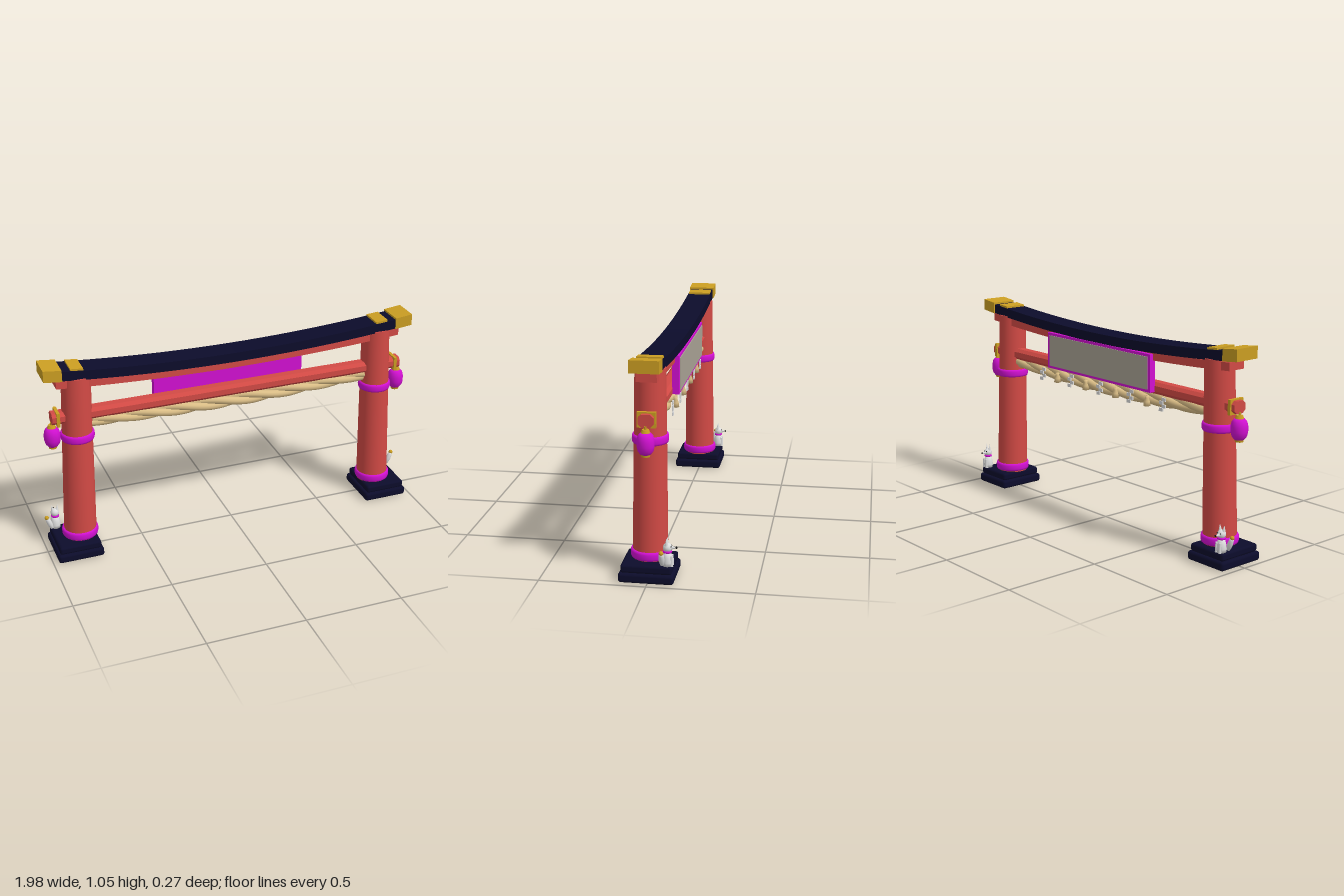
import * as THREE from 'three';
import { RoundedBoxGeometry } from 'three/addons/geometries/RoundedBoxGeometry.js';

const mat = (name, color) => Object.assign(new THREE.MeshStandardMaterial({ color }), { name });
const red = mat('vermilion', 0xd24a45);
const navy = mat('navy lacquer', 0x0c0c2b);
const gold = mat('gold', 0xcb9e22);
const magenta = mat('magenta', 0xd210d2);
const straw = mat('straw', 0xdabd86);
const panel = mat('pale panel', 0xaaa395);
const white = mat('white', 0xdedede);
const black = mat('black', 0x141414);

const ZC = 0.007; // centre plane of the gate
const V = (x, y, z) => new THREE.Vector3(x, y, z);

function add(parent, name, geo, material, x = 0, y = 0, z = 0) {
  const m = new THREE.Mesh(geo, material);
  m.name = name;
  m.position.set(x, y, z);
  parent.add(m);
  return m;
}

const box = (w, h, d) => new THREE.BoxGeometry(w, h, d);
const lathe = (pts, seg) => new THREE.LatheGeometry(pts.map(p => new THREE.Vector2(...p)), seg);

// Upswept beam between x0 and x1, following a shallow parabola
function sweptBeam(x0, x1, low, high, sag, depth) {
  const n = 20, shape = new THREE.Shape();
  const xs = Array.from({ length: n + 1 }, (_, i) => x0 + (x1 - x0) * i / n);
  xs.forEach((x, i) => shape[i ? 'lineTo' : 'moveTo'](x, low + sag * x * x));
  xs.reverse().forEach(x => shape.lineTo(x, high + sag * x * x));
  return new THREE.ExtrudeGeometry(shape, { depth, bevelEnabled: false }).translate(0, 0, -depth / 2);
}

// Straight beam along x with chamfered long edges
function chamferedBeam(length, h, d, c) {
  const a = d / 2, b = h / 2;
  const pts = [[-a + c, -b], [a - c, -b], [a, -b + c], [a, b - c], [a - c, b], [-a + c, b], [-a, b - c], [-a, -b + c]];
  const shape = new THREE.Shape(pts.map(p => new THREE.Vector2(...p)));
  return new THREE.ExtrudeGeometry(shape, { depth: length, bevelEnabled: false })
    .translate(0, 0, -length / 2).rotateY(Math.PI / 2);
}

// Band that hugs a pillar
function band(r, h) {
  const b = h / 2;
  return lathe([[r - 0.015, -b], [r - 0.004, -b], [r, -b * 0.5], [r, b * 0.5], [r - 0.004, b], [r - 0.015, b]], 24);
}

// One strand of the twisted rope
class Strand extends THREE.Curve {
  constructor(phase) { super(); this.phase = phase; }
  getPoint(t, target = new THREE.Vector3()) {
    const x = -0.75 + 1.5 * t, bulge = Math.sin(Math.PI * t);
    const a = this.phase + t * Math.PI * 5, r = 0.011 + 0.008 * bulge;
    return target.set(x, 0.716 - 0.016 * bulge + r * Math.cos(a), ZC + r * Math.sin(a));
  }
}

function addPillar(root, s) {
  const g = new THREE.Group();
  g.name = s > 0 ? 'leftPillar' : 'rightPillar';
  root.add(g);
  add(g, 'lowerPlinth', new RoundedBoxGeometry(0.236, 0.046, 0.258, 2, 0.014), navy, s * 0.855, 0.023, ZC);
  add(g, 'upperPlinth', new RoundedBoxGeometry(0.214, 0.04, 0.238, 2, 0.012), navy, s * 0.855, 0.064, ZC);

  // Column leans inward: shear it along its height
  const col = new THREE.CylinderGeometry(0.072, 0.083, 0.895, 24);
  const p = col.attributes.position;
  for (let i = 0; i < p.count; i++) p.setX(i, p.getX(i) - s * 0.026 * (p.getY(i) / 0.895 + 0.5));
  add(g, 'column', col, red, s * 0.827, 0.528, ZC);
  add(g, 'footBand', band(0.092, 0.04), magenta, s * 0.827, 0.108, ZC);
  add(g, 'upperBand', band(0.085, 0.04), magenta, s * 0.81, 0.653, ZC);
  add(g, 'beamCollar', box(0.016, 0.073, 0.086), gold, s * 0.908, 0.763, ZC);
}

function addLantern(root, s) {
  const g = new THREE.Group();
  g.name = 'lantern';
  g.position.set(s * 0.936, 0.661, ZC);
  root.add(g);
  add(g, 'lanternBody', lathe([[0, -0.05], [0.024, -0.05], [0.036, -0.034], [0.041, -0.012], [0.041, 0.014],
    [0.036, 0.036], [0.024, 0.05], [0, 0.05]], 14), magenta);
  add(g, 'lanternFoot', new THREE.CylinderGeometry(0.022, 0.02, 0.014, 12), gold, 0, -0.054, 0);
  add(g, 'lanternCap', new THREE.CylinderGeometry(0.016, 0.023, 0.018, 12), gold, 0, 0.056, 0);
  add(g, 'lanternHook', new THREE.CylinderGeometry(0.006, 0.006, 0.02, 8), gold, 0, 0.07, 0);
}

// Small seated guardian facing the back
function addGuardian(root, s) {
  const g = new THREE.Group();
  g.name = 'guardian';
  g.position.set(s * 0.932, 0.084, -0.09);
  root.add(g);
  add(g, 'body', lathe([[0, 0], [0.024, 0], [0.027, 0.018], [0.023, 0.042], [0.016, 0.064], [0, 0.066]], 12), white);
  for (const e of [-1, 1]) {
    add(g, 'frontLeg', new THREE.CylinderGeometry(0.006, 0.008, 0.05, 8), white, e * 0.011, 0.025, -0.02);
    const ear = add(g, 'ear', new THREE.ConeGeometry(0.009, 0.034, 6), white, e * 0.013, 0.117, 0.003);
    ear.rotation.z = -e * 0.12;
    add(g, 'eye', new THREE.SphereGeometry(0.003, 6, 5), black, e * 0.01, 0.095, -0.018);
  }
  add(g, 'collar', new THREE.TorusGeometry(0.015, 0.0065, 8, 14).rotateX(Math.PI / 2), magenta, 0, 0.068, 0);
  add(g, 'head', new THREE.SphereGeometry(0.022, 12, 9), white, 0, 0.087, 0);
  add(g, 'snout', new THREE.ConeGeometry(0.012, 0.032, 8).rotateX(-Math.PI / 2), white, 0, 0.087, -0.027);
  add(g, 'nose', new THREE.SphereGeometry(0.005, 8, 6), black, 0, 0.088, -0.041);
  const tail = new THREE.Group();
  tail.name = 'tail';
  tail.position.set(s * 0.022, 0.006, 0.022);
  tail.rotation.z = -s * 0.36;
  g.add(tail);
  add(tail, 'tailBrush', lathe([[0, 0], [0.009, 0.006], [0.014, 0.035], [0.012, 0.06], [0.008, 0.072], [0, 0.072]], 10), white);
  add(tail, 'tailTip', new THREE.SphereGeometry(0.011, 10, 8), gold, 0, 0.074, 0);
}

export function createModel() {
  const root = new THREE.Group();
  root.name = 'shrineGate';

  // Roof beam, its gilded ends and the lintel below
  add(root, 'roofBeam', sweptBeam(-0.89, 0.89, 0.936, 0.984, 0.055, 0.126), navy, 0, 0, ZC);
  add(root, 'lintel', sweptBeam(-0.91, 0.91, 0.898, 0.938, 0.043, 0.095), red, 0, 0, ZC);
  for (const s of [-1, 1]) {
    const x0 = s > 0 ? 0.882 : -0.973;
    add(root, 'roofEnd', sweptBeam(x0, x0 + 0.091, 0.931, 0.99, 0.06, 0.136), gold, 0, 0, ZC);
    const a = s > 0 ? 0.775 : -0.838;
    add(root, 'roofStrap', sweptBeam(a, a + 0.063, 0.975, 0.994, 0.055, 0.116), gold, 0, 0, ZC);
    addPillar(root, s);
    addLantern(root, s);
    addGuardian(root, s);
  }
  add(root, 'tieBeam', chamferedBeam(1.874, 0.06, 0.072, 0.016), red, 0, 0.763, ZC);

  // Framed plaque on the back
  add(root, 'plaqueFrame', box(0.8, 0.19, 0.034), magenta, 0, 0.842, -0.044);
  add(root, 'plaquePanel', box(0.765, 0.163, 0.006), panel, 0, 0.842, -0.062);

  // Twisted rope
  for (let i = 0; i < 3; i++) {
    add(root, 'ropeStrand', new THREE.TubeGeometry(new Strand(i * Math.PI * 2 / 3), 120, 0.0205, 10), straw);
  }

  // Folded paper streamers and straw tassels hung behind the rope
  for (let i = -4; i <= 4; i++) {
    const x = i * 0.1175;
    if (i % 2 === 0) {
      const g = new THREE.Group();
      g.name = 'paperStreamer';
      g.position.set(x, 0.7, -0.04);
      root.add(g);
      for (let k = 0; k < 4; k++) {
        add(g, 'paperFold', box(0.026, 0.017, 0.006), white, k % 2 ? 0.008 : -0.008, 0.024 - k * 0.017, -0.003 * (k % 2));
      }
    } else {
      add(root, 'strawTassel', lathe([[0, -0.028], [0.018, -0.026], [0.016, -0.004], [0.009, 0.014], [0.011, 0.024], [0, 0.026]], 10),
        straw, x, 0.697, -0.036);
    }
  }
  return root;
}
